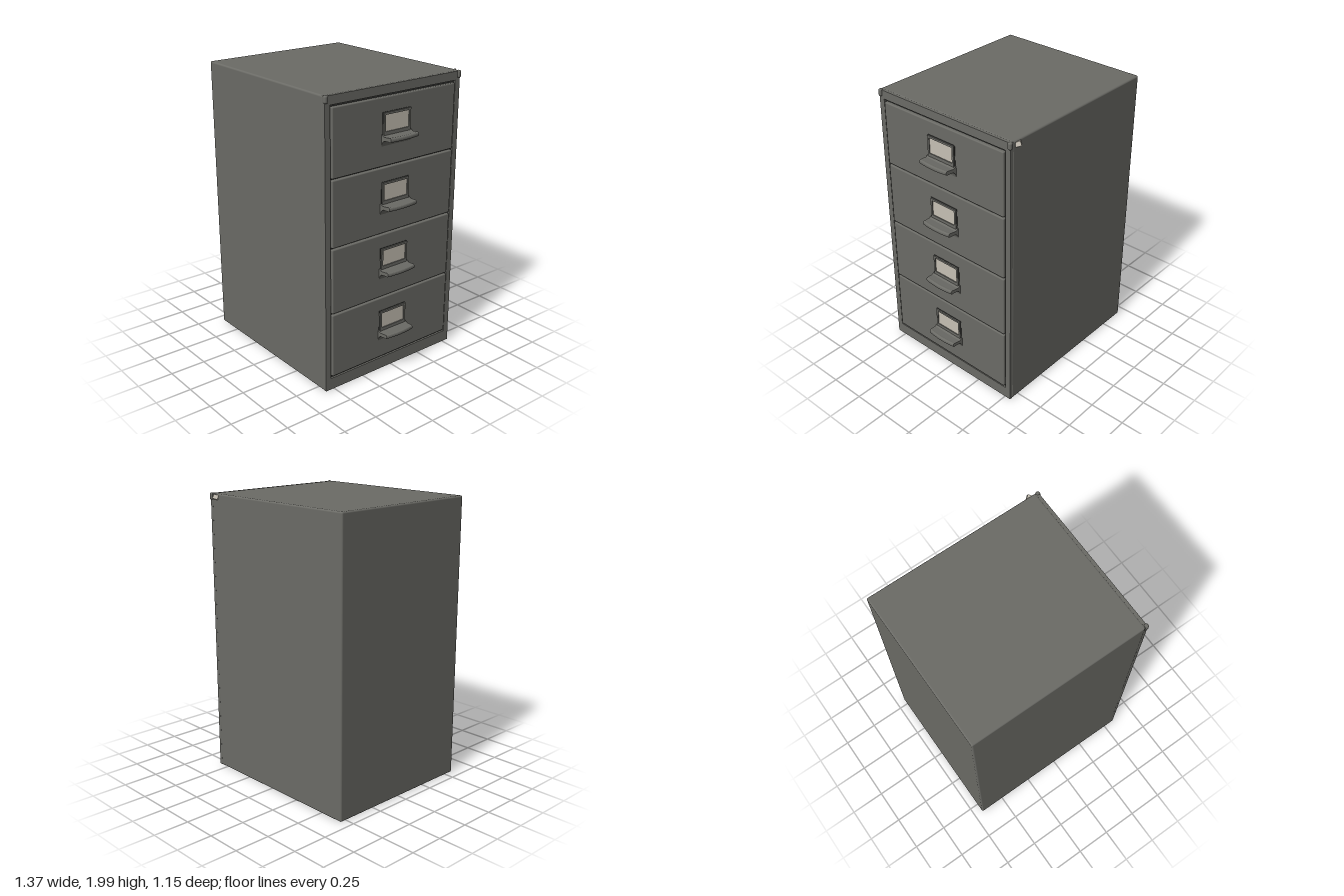
import * as THREE from 'three';
import { RoundedBoxGeometry } from 'three/addons/geometries/RoundedBoxGeometry.js';

const material = (name, color) => {
  const m = new THREE.MeshStandardMaterial({ color });
  m.name = name;
  return m;
};

export function createModel() {
  const steel = material('grey steel', 0x6b6b66);
  const seam = material('dark seam', 0x30312f);
  const card = material('cream card', 0xc6c0b4);
  const cabinet = new THREE.Group();
  cabinet.name = 'filingCabinet';

  const add = (parent, name, geometry, mat, x = 0, y = 0, z = 0) => {
    const mesh = new THREE.Mesh(geometry, mat);
    mesh.name = name;
    mesh.position.set(x, y, z);
    parent.add(mesh);
    return mesh;
  };

  // Rectangular frame in the yz plane, extruded towards +x
  const frameGeometry = (w, h, holeW, holeH, depth, holeY = 0) => {
    const rect = (T, a, b, cy) => new T([
      [-a, cy - b], [a, cy - b], [a, cy + b], [-a, cy + b],
    ].map(([x, y]) => new THREE.Vector2(x, y)));
    const shape = rect(THREE.Shape, w / 2, h / 2, 0);
    shape.holes.push(rect(THREE.Path, holeW / 2, holeH / 2, holeY));
    return new THREE.ExtrudeGeometry(shape, { depth, bevelEnabled: false }).rotateY(Math.PI / 2);
  };

  // Case, with a dark panel behind the drawers and a raised rim round them
  add(cabinet, 'case', new RoundedBoxGeometry(1.25, 1.985, 1.12, 3, 0.012), steel, -0.06, 0.9975, 0.01);
  add(cabinet, 'seamPanel', new THREE.BoxGeometry(0.008, 1.85, 1.05), seam, 0.564, 1.01, 0.01);
  add(cabinet, 'frontRim', frameGeometry(1.116, 1.98, 1.034, 1.84, 0.022, 0.012), steel, 0.56, 0.9975, 0.01);

  // Pull: a flared tab whose lip bows out in the middle
  const profile = new THREE.Shape();
  profile.moveTo(0, -0.055);
  profile.quadraticCurveTo(0.008, -0.02, 0.03, -0.014);
  profile.lineTo(0.07, -0.012);
  profile.quadraticCurveTo(0.09, -0.018, 0.09, 0);
  profile.quadraticCurveTo(0.09, 0.02, 0.07, 0.014);
  profile.lineTo(0.025, 0.01);
  profile.lineTo(0, 0.022);
  const pullGeometry = new THREE.ExtrudeGeometry(profile, {
    depth: 0.24, steps: 8, bevelEnabled: false, curveSegments: 5,
  }).translate(0, 0, -0.12);
  const p = pullGeometry.attributes.position;
  for (let i = 0; i < p.count; i++) {
    const t = p.getZ(i) / 0.12;
    p.setX(i, p.getX(i) * (1.04 - 0.12 * t * t));
    p.setZ(i, p.getZ(i) * (1.02 - p.getX(i) * 0.6));
  }
  pullGeometry.computeVertexNormals();

  // Four identical drawers
  for (let i = 0; i < 4; i++) {
    const drawer = new THREE.Group();
    drawer.name = 'drawer' + (i + 1);
    drawer.position.set(0, 0.328 + i * 0.455, 0.01);
    add(drawer, 'drawerFront', new RoundedBoxGeometry(0.04, 0.446, 1.018, 2, 0.008), steel, 0.571);
    add(drawer, 'labelBacking', new THREE.BoxGeometry(0.004, 0.17, 0.232), seam, 0.592, 0.044);
    add(drawer, 'labelCard', new THREE.BoxGeometry(0.004, 0.13, 0.2), card, 0.5945, 0.05);
    add(drawer, 'labelFrame', frameGeometry(0.224, 0.16, 0.196, 0.108, 0.012, 0.012), steel, 0.591, 0.046);
    add(drawer, 'pull', pullGeometry, steel, 0.591, -0.035);
    cabinet.add(drawer);
  }

  // Worn top corners
  add(cabinet, 'frontCornerCap', new RoundedBoxGeometry(0.03, 0.05, 0.03, 2, 0.012), steel, 0.577, 1.967, 0.558);
  add(cabinet, 'rearCornerCap', new RoundedBoxGeometry(0.03, 0.05, 0.03, 2, 0.012), steel, 0.577, 1.967, -0.54);
  const chip = add(cabinet, 'cornerChip', new THREE.BoxGeometry(0.035, 0.03, 0.035), card, 0.52, 1.965, -0.552);
  chip.rotation.set(0.4, 0.7, 0);

  return cabinet;
}
